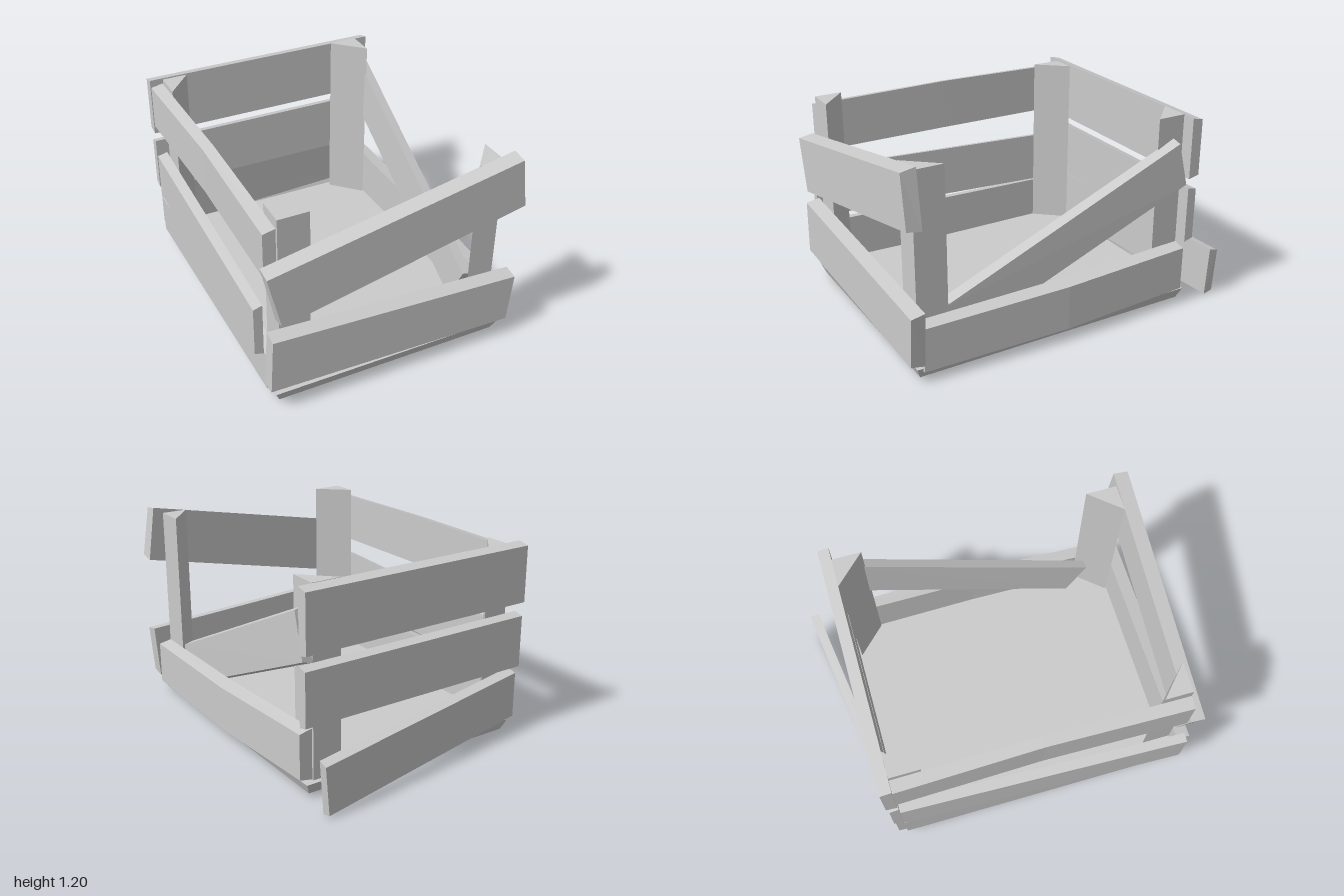
import * as THREE from 'three';

const material = new THREE.MeshStandardMaterial({ color: 0xcccccc, flatShading: true });
const BEVEL = 0.015;

// Plank lofted through sections [uBottom, yBottom, uTop, yTop, outer, inner],
// where u runs (ascending) along the given axis. The outer face is slightly narrower.
function plank(name, axis, sections) {
  const positions = [];
  const index = [];
  for (const [ub, yb, ut, yt, outer, inner] of sections) {
    const loop = [[ub, yb, inner], [ub, yb + BEVEL, outer], [ut, yt - BEVEL, outer], [ut, yt, inner]];
    for (const [u, y, w] of loop) positions.push(...(axis === 'x' ? [u, y, w] : [w, y, u]));
  }
  const flip = (axis === 'x') === (sections[0][4] > sections[0][5]);
  const quad = (a, b, c, d) => index.push(...(flip ? [a, c, b, a, d, c] : [a, b, c, a, c, d]));
  const last = (sections.length - 1) * 4;
  for (let i = 0; i < last; i += 4) {
    for (let k = 0; k < 4; k++) {
      const n = (k + 1) % 4;
      quad(i + k, i + n, i + 4 + n, i + 4 + k);
    }
  }
  quad(0, 3, 2, 1);
  quad(last, last + 1, last + 2, last + 3);
  const indexed = new THREE.BufferGeometry();
  indexed.setAttribute('position', new THREE.Float32BufferAttribute(positions, 3));
  indexed.setIndex(index);
  const geometry = indexed.toNonIndexed();
  geometry.computeVertexNormals();
  const mesh = new THREE.Mesh(geometry, material);
  mesh.name = name;
  return mesh;
}

// Triangular corner post: right angle at (x, z), legs dx and dz
function post(name, x, z, dx, dz, top) {
  const shape = new THREE.Shape([
    new THREE.Vector2(x, -z),
    new THREE.Vector2(x + dx, -z),
    new THREE.Vector2(x, -z - dz),
  ]);
  const geometry = new THREE.ExtrudeGeometry(shape, { depth: top - 0.07, bevelEnabled: false });
  geometry.rotateX(-Math.PI / 2).translate(0, 0.07, 0);
  const mesh = new THREE.Mesh(geometry, material);
  mesh.name = name;
  return mesh;
}

// Floor slab, narrower at the bottom
function floorSlab() {
  const geometry = new THREE.BoxGeometry(1.39, 0.065, 1.73);
  const p = geometry.attributes.position;
  for (let i = 0; i < p.count; i++) {
    if (p.getY(i) < 0) p.setXYZ(i, p.getX(i) * 0.96, p.getY(i), p.getZ(i) * 0.97);
  }
  geometry.computeVertexNormals();
  const mesh = new THREE.Mesh(geometry, material);
  mesh.name = 'floor';
  mesh.position.set(0.025, 0.0475, 0.085);
  return mesh;
}

export function createModel() {
  const crate = new THREE.Group();
  crate.name = 'brokenCrate';
  crate.add(floorSlab());

  // Corner posts
  crate.add(
    post('frontLeftPost', 0.66, 0.915, -0.155, -0.18, 1.155),
    post('frontRightPost', -0.63, 0.915, 0.175, -0.16, 1.165),
    post('backLeftPost', 0.66, -0.75, -0.17, 0.17, 1.15),
    post('backRightPost', -0.63, -0.75, 0.15, 0.175, 1.14),
  );

  // Front planks, both crooked
  crate.add(
    plank('frontLowerPlank', 'x', [
      [-0.715, 0.145, -0.70, 0.50, 0.995, 0.915],
      [0.74, 0.105, 0.765, 0.425, 0.995, 0.915],
    ]),
    plank('frontUpperPlank', 'x', [
      [-0.65, 0.565, -0.725, 0.91, 1.0, 0.915],
      [0.765, 0.875, 0.72, 1.195, 1.0, 0.915],
    ]),
  );

  // Back planks, the lowest one hanging loose at one end
  for (const [name, y0, y1, outer] of [['backMiddlePlank', 0.4, 0.735, -0.805], ['backUpperPlank', 0.79, 1.148, -0.815]]) {
    crate.add(plank(name, 'x', [
      [-0.71, y0, -0.71, y1, outer, -0.75],
      [0.74, y0, 0.74, y1, outer, -0.75],
    ]));
  }
  crate.add(plank('backLoosePlank', 'x', [
    [-0.69, 0.09, -0.69, 0.39, -0.80, -0.74],
    [0.73, 0, 0.75, 0.305, -1.0, -0.945],
  ]));

  // Planks on the -x side
  crate.add(
    plank('rightLowerPlank', 'z', [
      [-0.75, 0.06, -0.75, 0.33, -0.70, -0.635],
      [0.91, 0.095, 0.91, 0.36, -0.705, -0.635],
    ]),
    plank('rightMiddlePlank', 'z', [
      [-0.75, 0.33, -0.75, 0.64, -0.705, -0.645],
      [0.92, 0.37, 0.92, 0.685, -0.77, -0.72],
    ]),
    plank('rightUpperPlank', 'z', [
      [-0.75, 0.825, -0.75, 1.115, -0.705, -0.635],
      [0.08, 0.83, 0.08, 1.13, -0.69, -0.63],
      [0.91, 0.825, 0.91, 1.115, -0.705, -0.635],
    ]),
  );

  // Planks on the +x side: one bowed, one fallen diagonally inward
  crate.add(
    plank('leftLowerPlank', 'z', [
      [-0.745, 0.085, -0.745, 0.375, 0.74, 0.665],
      [0.05, 0.06, 0.05, 0.35, 0.76, 0.675],
      [0.915, 0.05, 0.915, 0.332, 0.735, 0.66],
    ]),
    plank('leftFallenPlank', 'z', [
      [-0.75, 0.735, -0.685, 1.02, 0.72, 0.66],
      [0.66, 0.1, 0.78, 0.345, 0.63, 0.57],
    ]),
  );
  return crate;
}
